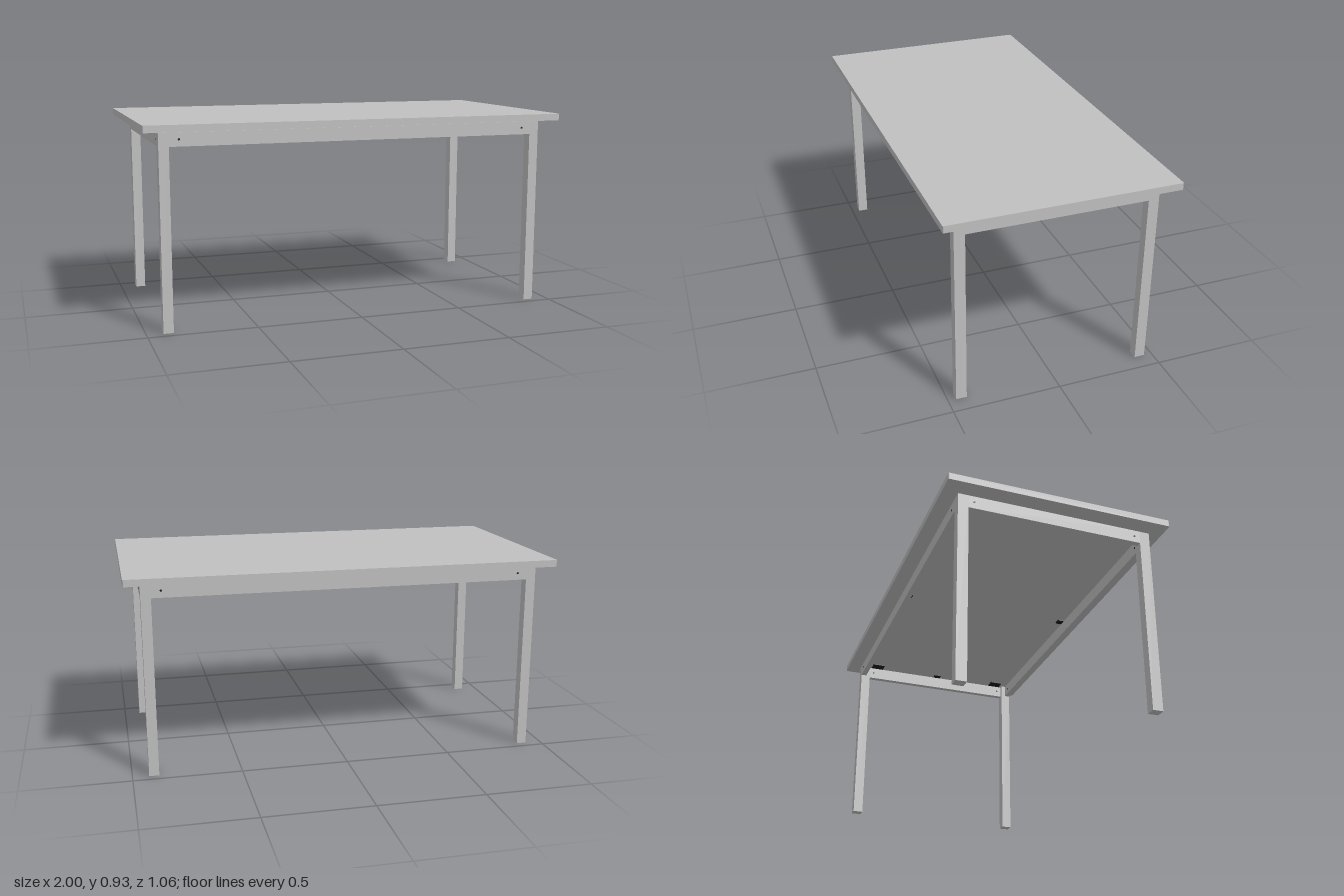
import * as THREE from 'three';

const grey = new THREE.MeshStandardMaterial({ color: 0xc0c0c0 });
grey.name = 'lightGrey';
const black = new THREE.MeshStandardMaterial({ color: 0x1c1c1c });
black.name = 'black';

// Outer faces of the frame, its height range, and the rail section
const FX = 0.925, FZ = 0.463, FRAME_TOP = 0.893, RAIL_BOTTOM = 0.831;
const LEG_X = 0.046, LEG_Z = 0.049, RAIL = 0.027;
const TOP_BOTTOM = 0.9, TOP = 0.932;

// Box given by its limits on each axis
function box(group, name, material, [x0, x1], [y0, y1], [z0, z1]) {
  const mesh = new THREE.Mesh(
    new THREE.BoxGeometry(Math.abs(x1 - x0), y1 - y0, Math.abs(z1 - z0)), material);
  mesh.position.set((x0 + x1) / 2, (y0 + y1) / 2, (z0 + z1) / 2);
  mesh.name = name;
  group.add(mesh);
}

// Small screw head passing through a rail
function screw(group, alongX, x, z) {
  const mesh = new THREE.Mesh(new THREE.CylinderGeometry(0.005, 0.005, RAIL + 0.002, 12), black);
  if (alongX) mesh.rotation.z = Math.PI / 2;
  else mesh.rotation.x = Math.PI / 2;
  mesh.position.set(x, 0.863, z);
  mesh.name = 'railScrew';
  group.add(mesh);
}

// Table top with slightly rounded corners
function tableTop() {
  const w = 1, d = 0.531, r = 0.006;
  const s = new THREE.Shape();
  s.moveTo(-w + r, -d);
  s.lineTo(w - r, -d);
  s.quadraticCurveTo(w, -d, w, -d + r);
  s.lineTo(w, d - r);
  s.quadraticCurveTo(w, d, w - r, d);
  s.lineTo(-w + r, d);
  s.quadraticCurveTo(-w, d, -w, d - r);
  s.lineTo(-w, -d + r);
  s.quadraticCurveTo(-w, -d, -w + r, -d);
  const geo = new THREE.ExtrudeGeometry(s, { depth: TOP - TOP_BOTTOM, bevelEnabled: false, curveSegments: 4 });
  geo.rotateX(-Math.PI / 2);
  const mesh = new THREE.Mesh(geo, grey);
  mesh.position.y = TOP_BOTTOM;
  mesh.name = 'tableTop';
  return mesh;
}

export function createModel() {
  const table = new THREE.Group();
  table.name = 'table';
  table.add(tableTop());
  const railY = [RAIL_BOTTOM, FRAME_TOP], padY = [FRAME_TOP, TOP_BOTTOM];

  for (const s of [-1, 1]) {
    // Long and end rails, flush with the outside of the legs
    box(table, 'longRail', grey, [-FX + LEG_X, FX - LEG_X], railY, [s * (FZ - RAIL), s * FZ]);
    box(table, 'endRail', grey, [s * (FX - RAIL), s * FX], railY, [-FZ + LEG_Z, FZ - LEG_Z]);

    // Spacer pads at the middle of each rail
    box(table, 'middlePad', black, [-0.018, 0.018], padY, [s * 0.405, s * 0.445]);
    box(table, 'middlePad', black, [s * 0.865, s * 0.905], padY, [-0.018, 0.018]);

    for (const t of [-1, 1]) {
      box(table, 'leg', grey, [s * (FX - LEG_X), s * FX], [0, FRAME_TOP], [t * (FZ - LEG_Z), t * FZ]);
      box(table, 'cornerPad', black, [s * 0.845, s * 0.91], padY, [t * 0.335, t * 0.4]);
      screw(table, false, s * 0.835, t * (FZ - RAIL / 2));
      screw(table, true, s * (FX - RAIL / 2), t * 0.388);
    }
  }
  return table;
}
